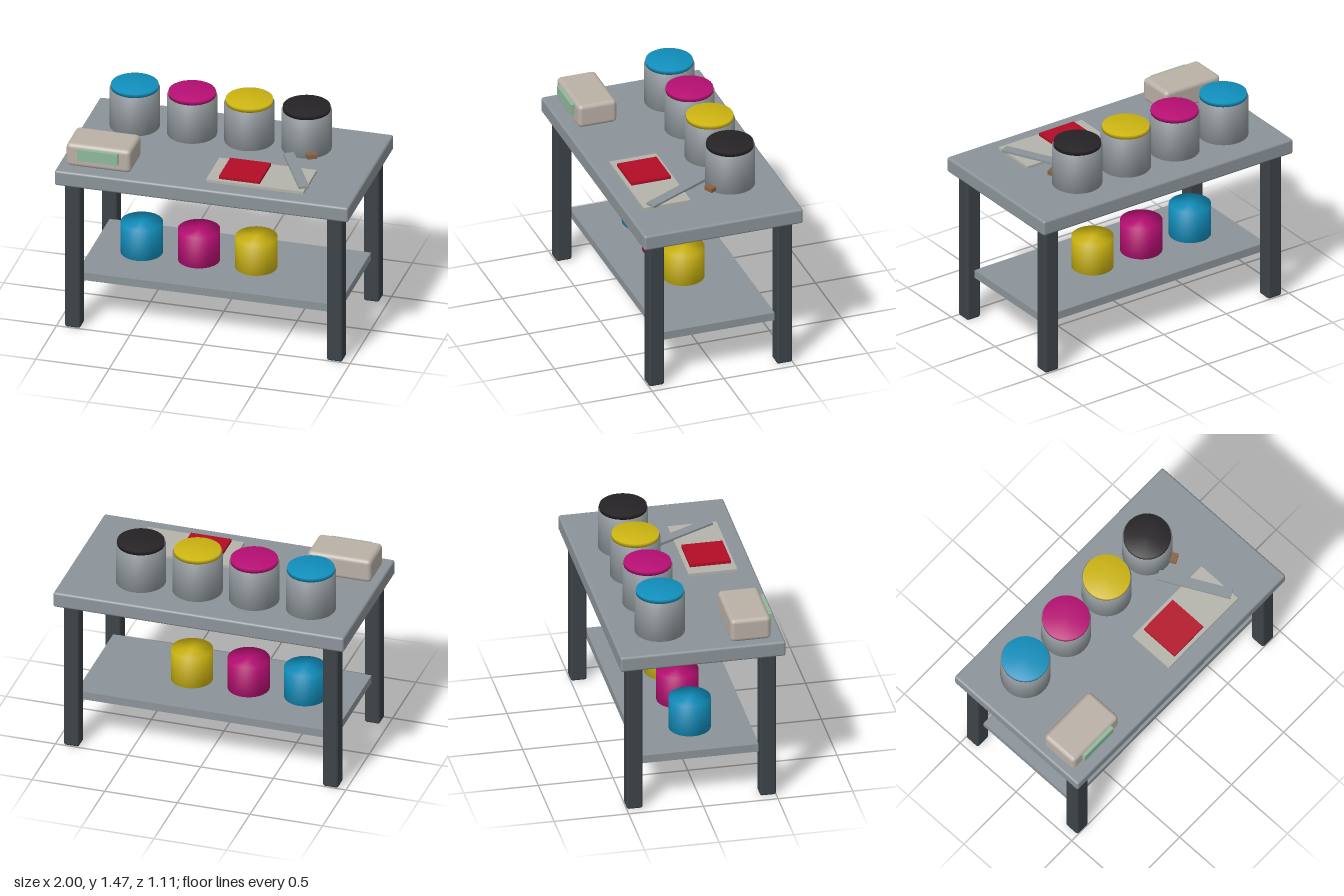
import * as THREE from 'three';
import { mergeVertices } from 'three/addons/utils/BufferGeometryUtils.js';
import { RoundedBoxGeometry } from 'three/addons/geometries/RoundedBoxGeometry.js';

const TOP = 1.168, SHELF = 0.362;
const material = (color) => new THREE.MeshStandardMaterial({ color });
const steel = material(0x8c9499), darkSteel = material(0x3c4348), can = material(0x8f969a);
const beige = material(0xbab0a6), glass = material(0x8fb89c), board = material(0xb4b4ac);
const red = material(0xb30d26), wood = material(0x8a6240);
const inks = [0x118fbd, 0xb80f74, 0xcdb512, 0x262326].map(material);

// Adds a mesh centred on x and z, resting at height y
function add(parent, name, geometry, mat, x, y, z, height) {
  const mesh = new THREE.Mesh(geometry, mat);
  mesh.name = name;
  mesh.position.set(x, y + height / 2, z);
  parent.add(mesh);
  return mesh;
}

const box = (parent, name, mat, [w, h, d], x, y, z) =>
  add(parent, name, new THREE.BoxGeometry(w, h, d), mat, x, y, z, h);

const roundBox = (parent, name, mat, [w, h, d], r, x, y, z) =>
  add(parent, name, new RoundedBoxGeometry(w, h, d, 3, r), mat, x, y, z, h);

// Cylinder whose shading runs smoothly over the rim
function drum(parent, name, mat, r, h, x, y, z) {
  let geometry = new THREE.CylinderGeometry(r, r, h, 48);
  geometry.deleteAttribute('uv');
  geometry.deleteAttribute('normal');
  geometry = mergeVertices(geometry);
  geometry.computeVertexNormals();
  return add(parent, name, geometry, mat, x, y, z, h);
}

export function createModel() {
  const model = new THREE.Group();
  model.name = 'inkMixingTable';

  // Table
  const table = new THREE.Group();
  table.name = 'table';
  model.add(table);
  roundBox(table, 'tableTop', steel, [2, 0.108, 1.106], 0.016, 0, 1.06, 0);
  for (const x of [-0.892, 0.892])
    for (const z of [-0.446, 0.446])
      roundBox(table, 'leg', darkSteel, [0.106, 1.07, 0.108], 0.016, x, 0, z);
  box(table, 'shelf', steel, [1.78, 0.056, 0.79], 0, 0.306, 0);

  // Ink cans on the top, coloured tubs on the shelf
  inks.forEach((ink, i) => {
    const inkCan = new THREE.Group();
    inkCan.name = 'inkCan';
    inkCan.position.set(-0.67 + i * 0.39, TOP, -0.223);
    drum(inkCan, 'canBody', can, 0.165, 0.278, 0, 0, 0);
    drum(inkCan, 'inkSurface', ink, 0.156, 0.028, 0, 0.278, 0);
    model.add(inkCan);
    if (i < 3) drum(model, 'inkTub', ink, 0.139, 0.223, -0.56 + i * 0.39, SHELF, 0);
  });

  // Meter with its display
  const meter = new THREE.Group();
  meter.name = 'meter';
  model.add(meter);
  roundBox(meter, 'meterBody', beige, [0.44, 0.165, 0.27], 0.03, -0.727, TOP, 0.331);
  box(meter, 'meterDisplay', glass, [0.275, 0.08, 0.04], -0.725, 1.23, 0.47);

  // Mixing board with a swatch
  box(model, 'mixingBoard', board, [0.664, 0.019, 0.327], 0.332, TOP, 0.274);
  box(model, 'swatch', red, [0.278, 0.02, 0.275], 0.22, 1.19, 0.275);
  box(model, 'swatchBacking', board, [0.26, 0.004, 0.26], 0.22, 1.187, 0.275);

  // Spatula blade and handle
  const blade = box(model, 'spatulaBlade', steel, [0.07, 0.018, 0.5], 0.54, 1.183, 0.167);
  const handle = box(model, 'spatulaHandle', wood, [0.066, 0.03, 0.045], 0.58, 1.183, -0.057);
  blade.rotation.y = handle.rotation.y = 0.478;

  return model;
}
